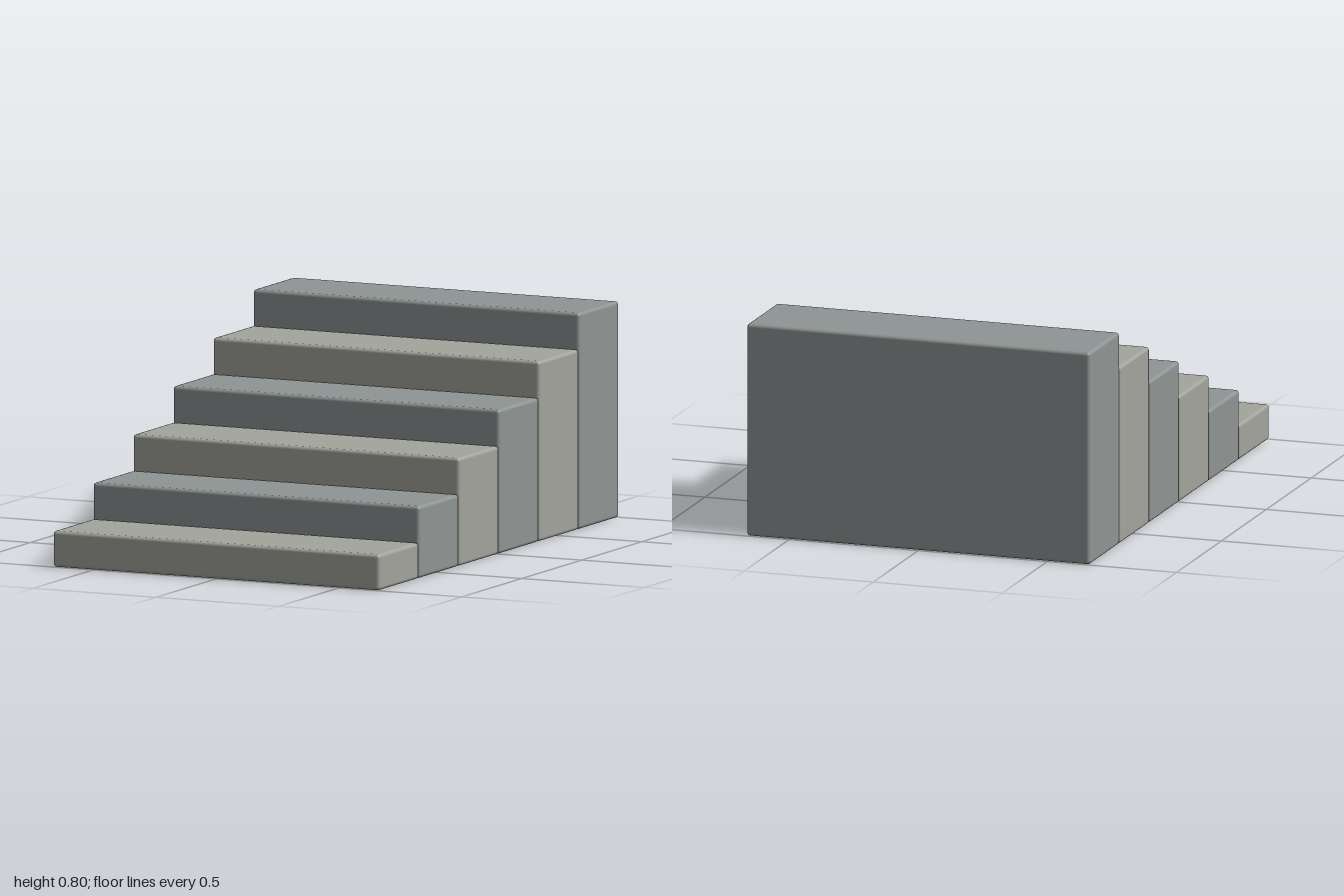
import * as THREE from 'three';
import { RoundedBoxGeometry } from 'three/addons/geometries/RoundedBoxGeometry.js';

const STEPS = 6;
const WIDTH = 1.33;
const RISE = 0.8 / STEPS;
const DEPTH = 2 / STEPS;
const EDGE = 0.013; // softened edge radius

export function createModel() {
  const stairs = new THREE.Group();
  stairs.name = 'stairs';

  const warmStone = new THREE.MeshStandardMaterial({ color: 0xa3a49c });
  const coolStone = new THREE.MeshStandardMaterial({ color: 0x8f9594 });

  // Solid blocks rising from the front to the back, in alternating stone
  for (let i = 0; i < STEPS; i++) {
    const height = RISE * (i + 1);
    const step = new THREE.Mesh(
      new RoundedBoxGeometry(WIDTH, height, DEPTH, 2, EDGE),
      i % 2 ? coolStone : warmStone
    );
    step.name = `step${i + 1}`;
    step.position.set(0, height / 2, 1 - DEPTH * (i + 0.5));
    stairs.add(step);
  }
  return stairs;
}
